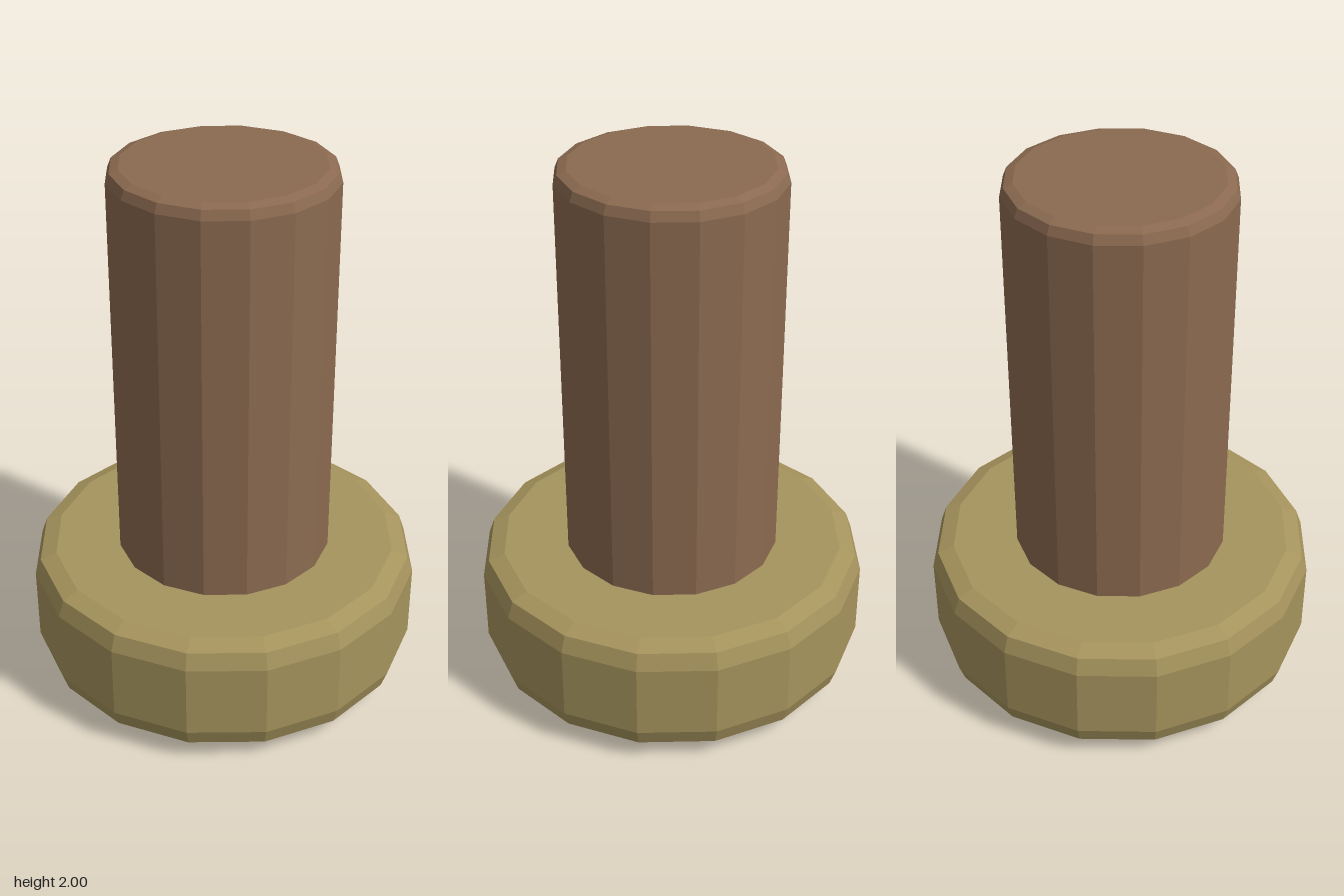
import * as THREE from 'three';

const SIDES = 16;

// Faceted solid of revolution from [radius, height] pairs, bottom to top
function turned(name, points, material) {
  const profile = points.map(([r, y]) => new THREE.Vector2(r, y));
  const mesh = new THREE.Mesh(new THREE.LatheGeometry(profile, SIDES), material);
  mesh.name = name;
  return mesh;
}

export function createModel() {
  const wood = new THREE.MeshStandardMaterial({ color: 0x8b6a50, flatShading: true });
  wood.name = 'brown wood';
  const brass = new THREE.MeshStandardMaterial({ color: 0xa6945d, flatShading: true });
  brass.name = 'dull brass';
  const steel = new THREE.MeshStandardMaterial({ color: 0x42494f, flatShading: true });
  steel.name = 'dark steel';

  const group = new THREE.Group();
  group.name = 'stampTool';

  // Wide base with rounded rims
  group.add(turned('base', [
    [0, 0.06], [0.64, 0.06], [0.7, 0.08], [0.722, 0.145],
    [0.722, 0.425], [0.7, 0.487], [0.64, 0.51], [0, 0.51],
  ], brass));

  // Tall handle with a softened top edge
  group.add(turned('handle', [
    [0.398, 0.5], [0.398, 1.955], [0.385, 1.988], [0.353, 2], [0, 2],
  ], wood));

  // Rounded bar lying across the underside
  const r = 0.025, half = 0.22;
  const outline = new THREE.Shape();
  outline.absarc(half, 0, r, -Math.PI / 2, Math.PI / 2, false);
  outline.absarc(-half, 0, r, Math.PI / 2, Math.PI * 1.5, false);
  const barGeometry = new THREE.ExtrudeGeometry(outline, {
    depth: 0.01, curveSegments: 4,
    bevelEnabled: true, bevelThickness: 0.024, bevelSize: 0.025, bevelSegments: 2,
  });
  barGeometry.rotateX(-Math.PI / 2);
  barGeometry.translate(0, 0.024, 0);
  const bar = new THREE.Mesh(barGeometry, steel);
  bar.name = 'undersideBar';
  group.add(bar);

  return group;
}
